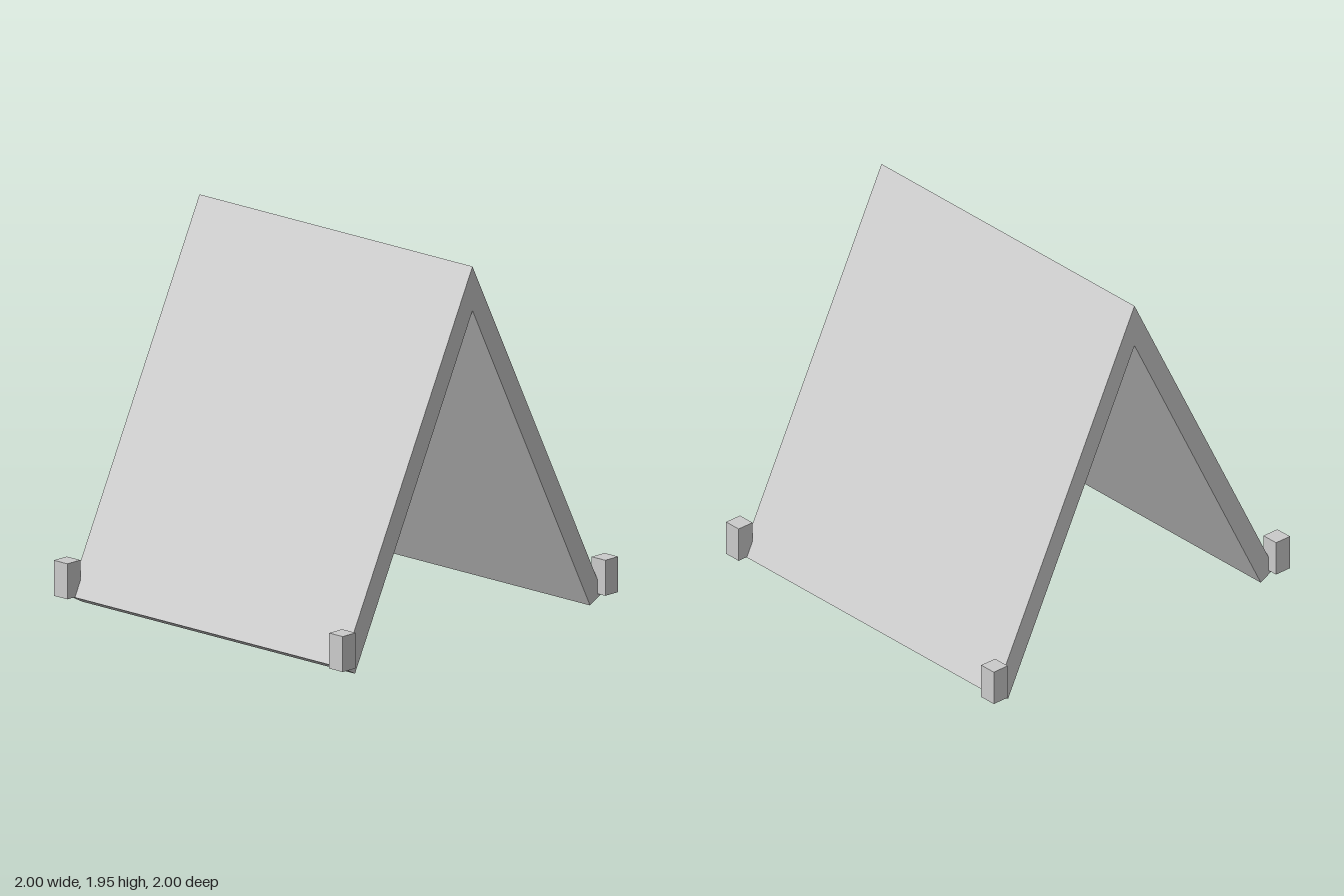
import * as THREE from 'three';

const DEPTH = 1.89;
const POST = { width: 0.094, height: 0.185, base: 0.05 };

export function createModel() {
  const model = new THREE.Group();
  model.name = 'tentFrame';
  const material = new THREE.MeshStandardMaterial({ color: 0xcccccc, flatShading: true });

  // Two sloping panels joined at the ridge, as one folded profile
  const profile = new THREE.Shape([
    [0, 1.945], [-0.945, 0.048], [-0.853, 0], [0, 1.715], [0.853, 0], [0.945, 0.048],
  ].map(([x, y]) => new THREE.Vector2(x, y)));
  const roofGeometry = new THREE.ExtrudeGeometry(profile, { depth: DEPTH, bevelEnabled: false });
  roofGeometry.translate(0, 0, -DEPTH / 2);
  const roof = new THREE.Mesh(roofGeometry, material);
  roof.name = 'slopedRoof';
  model.add(roof);

  // Short post at each corner
  const postGeometry = new THREE.BoxGeometry(POST.width, POST.height, POST.width);
  const offset = 1 - POST.width / 2;
  for (const x of [-1, 1]) {
    for (const z of [-1, 1]) {
      const post = new THREE.Mesh(postGeometry, material);
      post.name = `${z > 0 ? 'front' : 'back'}${x > 0 ? 'Left' : 'Right'}Post`;
      post.position.set(x * offset, POST.base + POST.height / 2, z * offset);
      model.add(post);
    }
  }
  return model;
}
